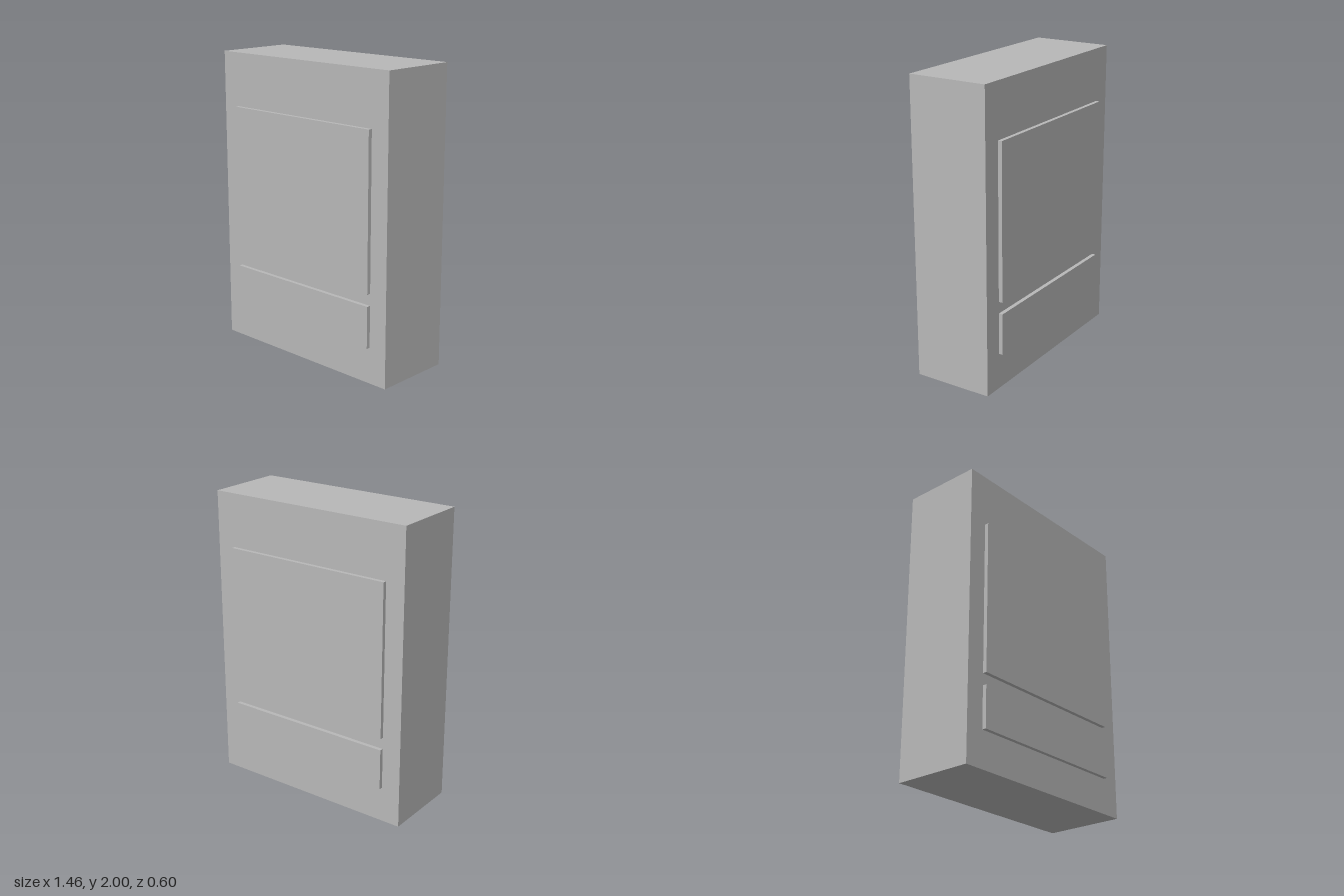
import * as THREE from 'three';

export function createModel() {
  const group = new THREE.Group();
  const grey = new THREE.MeshStandardMaterial({ color: 0xb8b8b8 });
  grey.name = 'plain grey';

  const addBox = (name, width, y0, y1, z0, z1) => {
    const mesh = new THREE.Mesh(new THREE.BoxGeometry(width, y1 - y0, z1 - z0), grey);
    mesh.position.set(0, (y0 + y1) / 2, (z0 + z1) / 2);
    mesh.name = name;
    group.add(mesh);
  };

  // Upright cabinet
  const halfDepth = 0.272, panelFace = 0.299;
  addBox('cabinet', 1.456, 0, 2, -halfDepth, halfDepth);

  // Raised panels, the same on the front and the back
  const panels = [['UpperPanel', 0.602, 1.64], ['LowerPanel', 0.243, 0.523]];
  for (const [name, y0, y1] of panels) {
    addBox('front' + name, 1.194, y0, y1, halfDepth - 0.01, panelFace);
    addBox('back' + name, 1.194, y0, y1, -panelFace, -halfDepth + 0.01);
  }
  return group;
}
